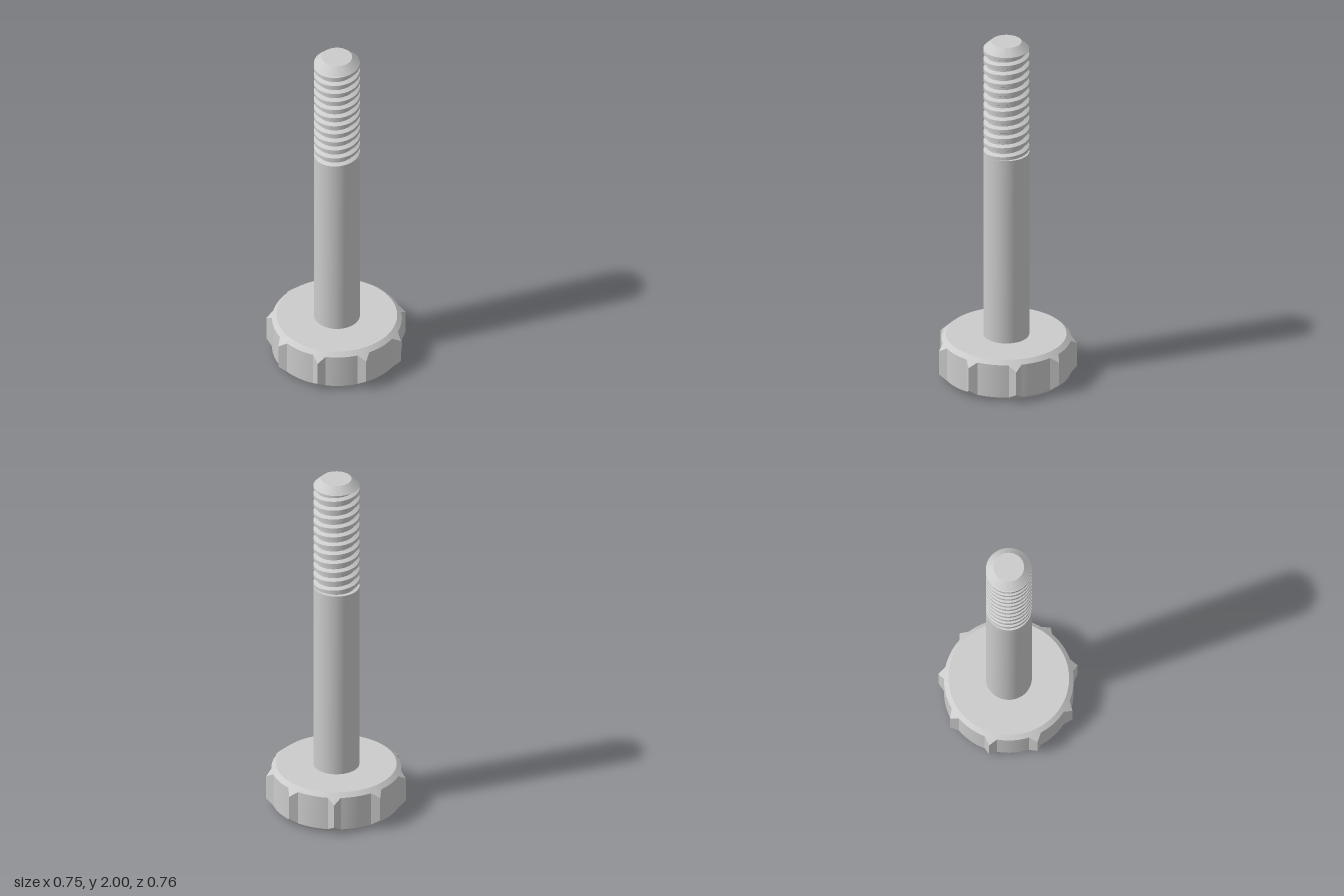
import * as THREE from 'three';
import { toCreasedNormals } from 'three/addons/utils/BufferGeometryUtils.js';

const material = new THREE.MeshStandardMaterial({ color: 0xcccccc });
const TAU = Math.PI * 2;
const polar = (r, a, y) => new THREE.Vector3(r * Math.cos(a), y, -r * Math.sin(a));

// Skin a list of closed rings, bottom to top, skipping collapsed triangles
function skin(name, rings) {
  const pos = [];
  const area = new THREE.Triangle();
  const tri = (a, b, c) => {
    if (area.set(a, b, c).getArea() > 1e-9) pos.push(...a.toArray(), ...b.toArray(), ...c.toArray());
  };
  for (let j = 0; j < rings.length - 1; j++) {
    const lo = rings[j], hi = rings[j + 1];
    for (let i = 0; i < lo.length - 1; i++) {
      tri(lo[i], lo[i + 1], hi[i + 1]);
      tri(lo[i], hi[i + 1], hi[i]);
    }
  }
  const geo = new THREE.BufferGeometry();
  geo.setAttribute('position', new THREE.Float32BufferAttribute(pos, 3));
  const mesh = new THREE.Mesh(toCreasedNormals(geo, 0.5), material);
  mesh.name = name;
  return mesh;
}

// Toothed knob: nine pointed teeth, cut by a cone at both ends
function knob() {
  const teeth = 9, rBody = 0.352, rTip = 0.385, rFlat = 0.327, height = 0.238;
  const half = 0.1, step = TAU / teeth;
  const rim = [];
  const line = (r0, a0, r1, a1) => {
    const p = polar(r0, a0, 0), q = polar(r1, a1, 0);
    for (let k = 0; k < 4; k++) rim.push(p.clone().lerp(q, k / 4));
  };
  for (let t = 0; t < teeth; t++) {
    const a = t * step;
    line(rTip, a, rBody, a + half);
    for (let k = 0; k < 8; k++) rim.push(polar(rBody, a + half + (step - 2 * half) * k / 8, 0));
    line(rBody, a + step - half, rTip, a + step);
  }
  rim.push(rim[0].clone());
  const scaled = (radius, y) => rim.map(p => p.clone().setLength(radius).setY(y));
  const bevel = p => (p.length() - rFlat) * 0.88;
  return skin('knob', [
    scaled(0, 0), scaled(rFlat, 0),
    rim.map(p => p.clone().setY(bevel(p))),
    rim.map(p => p.clone().setY(height - bevel(p))),
    scaled(rFlat, height), scaled(0, height),
  ]);
}

const COLS = 72, R = 0.125, ROOT = 0.104, PITCH = 0.055;
const Y0 = 1.338, Y1 = 1.96, EDGE = 1.308;
const ring = fn => Array.from({ length: COLS + 1 }, (_, i) => fn(i / COLS * TAU));
const circle = (r, y) => ring(a => polar(r, a, y));

// Trapezoidal thread profile over one pitch: flank, root, flank, crest
const stops = [[0, R], [0.2, ROOT], [0.45, ROOT], [0.65, R], [1, R]];
function threadRadius(u) {
  const f = u - Math.floor(u);
  for (let k = 0; k < 4; k++) {
    const [u0, r0] = stops[k], [u1, r1] = stops[k + 1];
    if (f <= u1) return r0 + (r1 - r0) * (f - u0) / (u1 - u0);
  }
  return R;
}

// Right-handed helical groove, trimmed flat at both ends
function thread() {
  const rings = [circle(R, Y0)];
  for (let turn = -1; turn <= 13; turn++) {
    for (let k = 0; k < 4; k++) {
      const u = turn + stops[k][0];
      rings.push(ring(a => {
        const y = EDGE + PITCH * (u + a / TAU);
        if (y > Y0 && y < Y1) return polar(stops[k][1], a, y);
        const cut = y <= Y0 ? Y0 : Y1;
        return polar(threadRadius((cut - EDGE) / PITCH - a / TAU), a, cut);
      }));
    }
  }
  rings.push(circle(R, Y1));
  return skin('thread', rings);
}

export function createModel() {
  const model = new THREE.Group();
  model.name = 'thumbScrew';
  model.add(
    knob(),
    skin('shank', [circle(R, 0.23), circle(R, Y0)]),
    thread(),
    skin('chamferedTip', [circle(R, Y1), circle(0.083, 2), circle(0, 2)]),
  );
  // The odd tooth count shifts the axis so the outline stays centred
  model.children.forEach(part => { part.position.x = -0.012; });
  return model;
}
